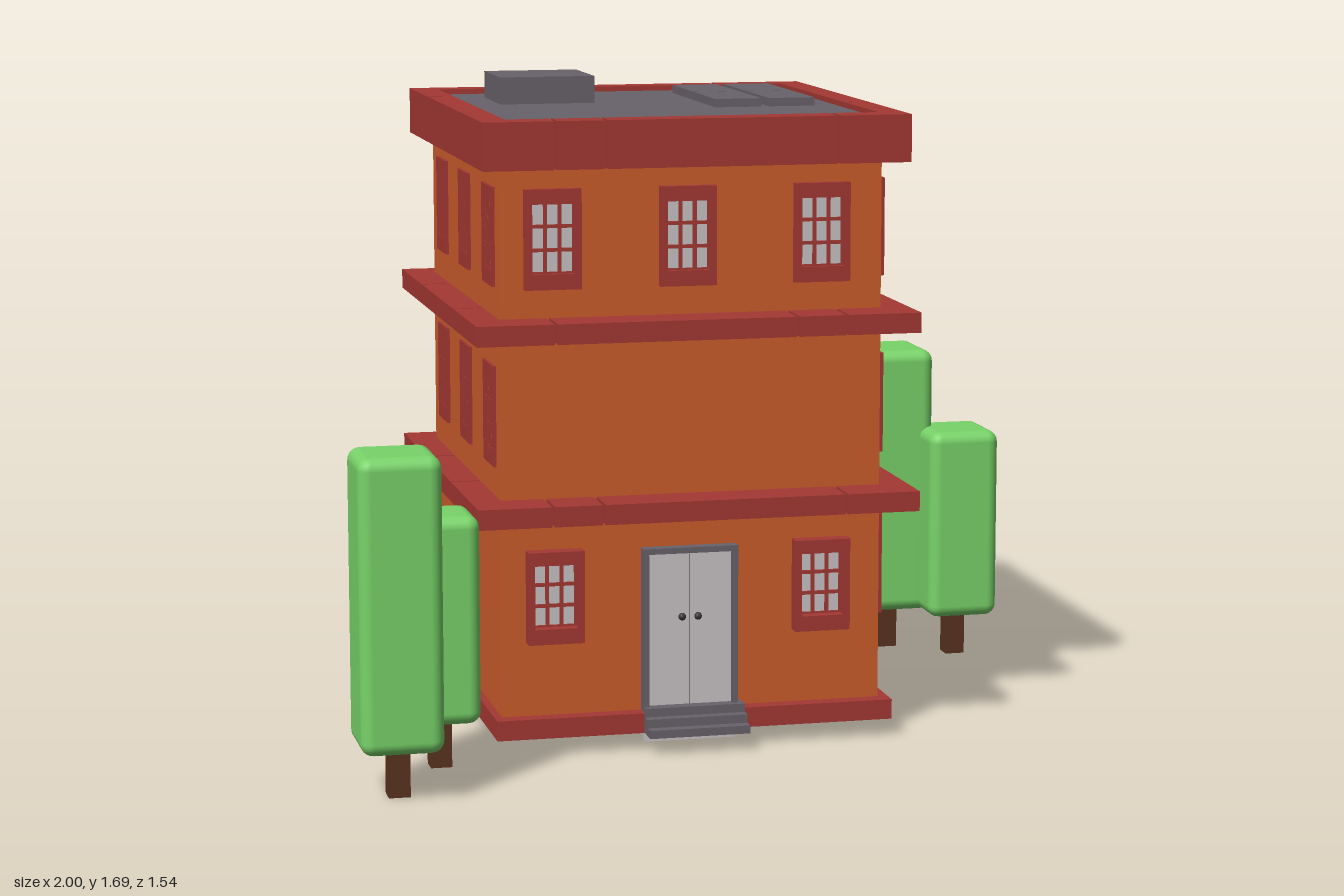
import * as THREE from 'three';
import { RoundedBoxGeometry } from 'three/addons/geometries/RoundedBoxGeometry.js';

const mat = (name, color) => {
  const m = new THREE.MeshStandardMaterial({ color });
  m.name = name;
  return m;
};

export function createModel() {
  const M = {
    wall: mat('orange wall', 0xcd5d2c),
    trim: mat('red trim', 0xa53833),
    grey: mat('roof grey', 0x68626a),
    pale: mat('pale glass and door', 0xcac5c6),
    dark: mat('dark handle', 0x39363a),
    leaf: mat('leaf green', 0x78d369),
    bark: mat('bark brown', 0x5a3320),
  };
  const model = new THREE.Group();
  model.name = 'townHouse';

  // box given by its limits on each axis
  function box(name, parent, m, x0, x1, y0, y1, z0, z1) {
    const mesh = new THREE.Mesh(new THREE.BoxGeometry(x1 - x0, y1 - y0, z1 - z0), m);
    mesh.position.set((x0 + x1) / 2, (y0 + y1) / 2, (z0 + z1) / 2);
    mesh.name = name;
    parent.add(mesh);
    return mesh;
  }

  // wall limits
  const W = { x0: -0.575, x1: 0.425, z0: -0.66, z1: 0.33 };

  box('walls', model, M.wall, W.x0, W.x1, 0.06, 1.515, W.z0, W.z1);
  box('plinth', model, M.trim, -0.595, 0.452, 0.045, 0.097, -0.69, 0.372);

  // cut the span a..b at the given joints, leaving narrow gaps
  function spans(a, b, joints) {
    const p = [a, ...joints, b], g = 0.004;
    return p.slice(1).map((end, i) => [p[i] + (i ? g : 0), end - (i < joints.length ? g : 0)]);
  }

  // ring of trim blocks around the house
  function ring(name, y0, y1, o, n, joints) {
    const group = new THREE.Group();
    group.name = name;
    for (const [a, b] of spans(o.x0, o.x1, joints.front)) box('frontBlock', group, M.trim, a, b, y0, y1, n.z1, o.z1);
    for (const [a, b] of spans(o.x0, o.x1, joints.back)) box('backBlock', group, M.trim, a, b, y0, y1, o.z0, n.z0);
    for (const [a, b] of spans(n.z0, n.z1, joints.left)) box('leftBlock', group, M.trim, n.x1, o.x1, y0, y1, a, b);
    for (const [a, b] of spans(n.z0, n.z1, joints.right)) box('rightBlock', group, M.trim, o.x0, n.x0, y0, y1, a, b);
    model.add(group);
  }
  const ledge = { x0: -0.653, x1: 0.5, z0: -0.74, z1: 0.448 };
  ring('lowerLedge', 0.61, 0.662, ledge, W,
    { front: [-0.46, -0.33, 0.305], back: [-0.35, 0.2], left: [0.05], right: [-0.35, 0.04] });
  ring('upperLedge', 1.074, 1.126, ledge, W,
    { front: [-0.45, 0.175, 0.305], back: [-0.25, 0.12], left: [-0.405], right: [-0.4, 0.1] });
  const inner = { x0: -0.56, x1: 0.41, z0: -0.65, z1: 0.347 };
  ring('cornice', 1.51, 1.632, { x0: -0.63, x1: 0.476, z0: -0.714, z1: 0.426 }, inner,
    { front: [-0.445, -0.315, 0.285], back: [-0.355, 0.225], left: [0.045], right: [-0.4] });
  box('gutter', model, M.grey, -0.585, 0.435, 1.55, 1.602, -0.722, -0.71);

  // roof and the things on it
  box('roof', model, M.grey, inner.x0, inner.x1, 1.512, 1.618, inner.z0, inner.z1);
  box('roofUnit', model, M.grey, -0.455, -0.2, 1.6, 1.69, -0.52, -0.275);
  for (const x of [0.08, 0.225])
    for (const z of [-0.56, -0.305])
      box('solarPanel', model, M.grey, x, x + 0.125, 1.61, 1.64, z, z + 0.25);

  // window with its frame, pane and 3 x 3 bars, facing +z from its own origin
  function makeWindow(h, depth, paneMat, bars) {
    const g = new THREE.Group(), w = 0.146, iw = 0.112, ih = h - 0.075;
    g.name = 'window';
    const shape = new THREE.Shape();
    shape.moveTo(-w / 2, -h / 2).lineTo(w / 2, -h / 2).lineTo(w / 2, h / 2).lineTo(-w / 2, h / 2).closePath();
    const hole = new THREE.Path();
    const b = -h / 2 + 0.04, t = b + ih;
    hole.moveTo(-iw / 2, b).lineTo(-iw / 2, t).lineTo(iw / 2, t).lineTo(iw / 2, b).closePath();
    shape.holes.push(hole);
    const frame = new THREE.Mesh(new THREE.ExtrudeGeometry(shape, { depth, bevelEnabled: false }), M.trim);
    frame.name = 'windowFrame';
    g.add(frame);
    box('windowPane', g, paneMat, -iw / 2, iw / 2, b, t, -0.003, 0.003);
    if (bars) {
      const top = Math.min(depth, 0.01);
      for (const k of [0, 1, 2, 3]) {
        const x = -iw / 2 + (iw * k) / 3, y = b + (ih * k) / 3, r = 0.0045;
        box('uprightBar', g, M.trim, x - r, x + r, b, t, 0, top);
        box('crossBar', g, M.trim, -iw / 2, iw / 2, y - r, y + r, 0, top - 0.001);
      }
    }
    return g;
  }
  function addWindow(x, y0, y1, z, turn, depth, paneMat, bars = true) {
    const w = makeWindow(y1 - y0, depth, paneMat, bars);
    w.position.set(x, (y0 + y1) / 2, z);
    w.rotation.y = turn;
    model.add(w);
  }
  const across = [-0.438, -0.088, 0.264], along = [0.208, -0.143, -0.49];
  const floors = [[0.31, 0.575], [0.74, 1.0], [1.203, 1.457]];
  for (const x of across) addWindow(x, 1.2, 1.455, W.z1, 0, 0.022, M.pale);
  for (const x of [across[0], across[2]]) addWindow(x, 0.29, 0.53, W.z1, 0, 0.04, M.pale);
  floors.forEach(([y0, y1], i) => {
    along.forEach((z) => {
      addWindow(W.x1, y0, y1, z, Math.PI / 2, 0.023, M.pale);
      if (i) addWindow(W.x0, y0, y1, z, -Math.PI / 2, 0.008, M.wall);
    });
    if (i) across.forEach((x, k) =>
      addWindow(x + 0.01, y0, y1, W.z0, Math.PI, 0.006, M.wall, !(i === 1 && k === 1)));
  });

  // double door, frame, handles and steps
  const door = new THREE.Group();
  door.name = 'entrance';
  model.add(door);
  box('doorJamb', door, M.grey, -0.21, -0.195, 0.09, 0.525, 0.32, 0.362);
  box('doorJamb', door, M.grey, 0.025, 0.04, 0.09, 0.525, 0.32, 0.362);
  box('doorLintel', door, M.grey, -0.195, 0.025, 0.51, 0.525, 0.32, 0.362);
  box('doorBacking', door, M.dark, -0.195, 0.025, 0.1, 0.51, 0.325, 0.337);
  box('doorLeaf', door, M.pale, -0.205, -0.087, 0.015, 0.508, 0.335, 0.346);
  box('doorLeaf', door, M.pale, -0.083, 0.035, 0.015, 0.508, 0.335, 0.346);
  for (const x of [-0.106, -0.064]) {
    const knob = new THREE.Mesh(new THREE.SphereGeometry(0.01, 12, 8), M.dark);
    knob.position.set(x, 0.342, 0.352);
    knob.name = 'doorKnob';
    door.add(knob);
  }
  [[0.045, 0.066, 0.438], [0.066, 0.088, 0.408], [0.088, 0.11, 0.38]].forEach(([y0, y1, z]) =>
    box('step', door, M.grey, -0.21, 0.054, y0, y1, 0.335, z));

  // trees: x0, x1, top, z0, z1
  for (const [x0, x1, top, z0, z1] of [
    [-1.0, -0.793, 0.86, 0.553, 0.77],
    [-0.843, -0.655, 0.656, 0.302, 0.5],
    [0.626, 0.838, 0.875, -0.775, -0.535],
    [0.796, 0.996, 0.656, -0.636, -0.415],
  ]) {
    const tree = new THREE.Group(), h = top - 0.123;
    tree.name = 'tree';
    tree.position.set((x0 + x1) / 2, 0, (z0 + z1) / 2);
    const crown = new THREE.Mesh(new RoundedBoxGeometry(x1 - x0, h, z1 - z0, 3, 0.032), M.leaf);
    crown.position.y = 0.123 + h / 2;
    crown.name = 'crown';
    tree.add(crown);
    box('trunk', tree, M.bark, -0.027, 0.027, 0, 0.14, -0.027, 0.027);
    model.add(tree);
  }
  return model;
}
